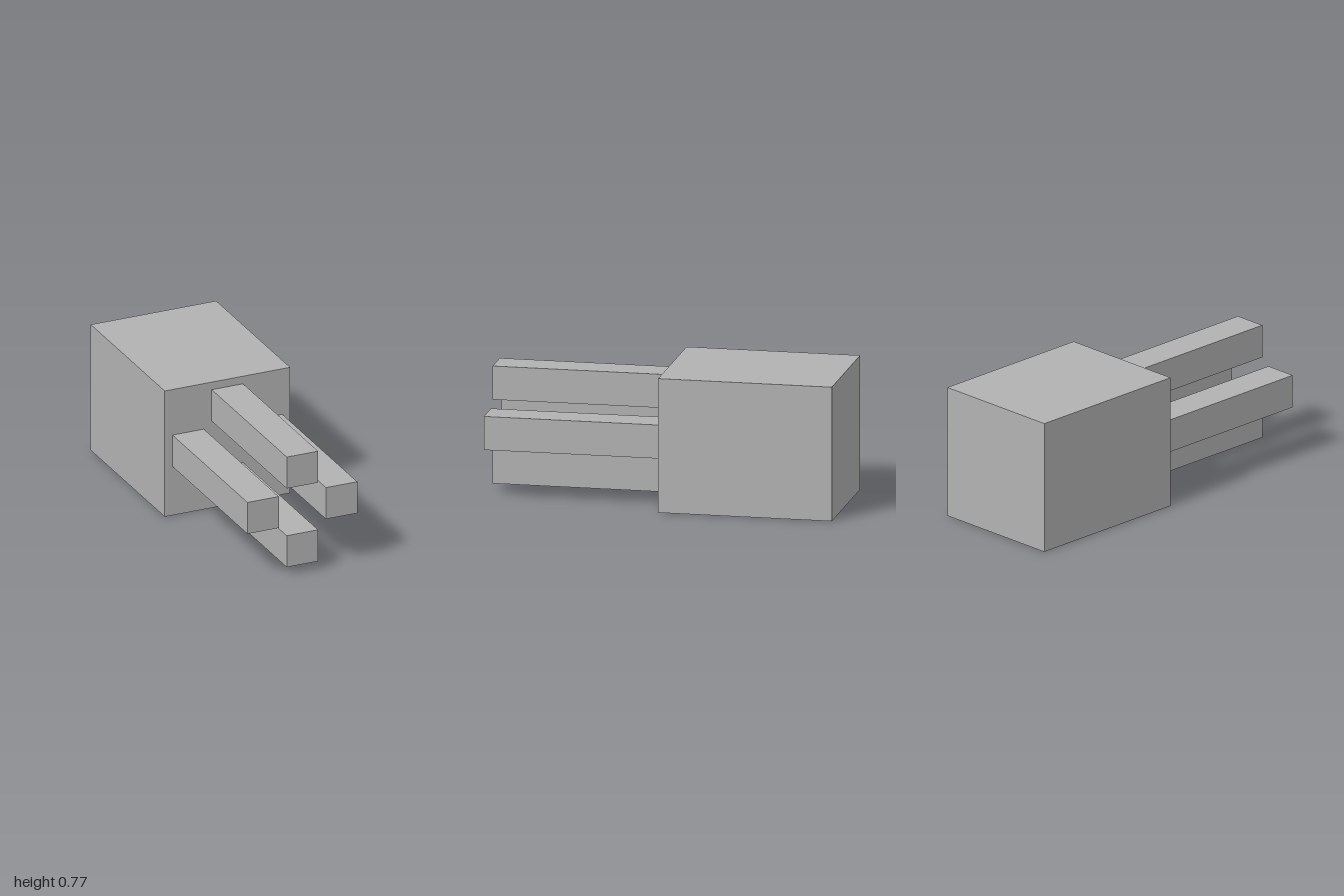
import * as THREE from 'three';

export function createModel() {
  const model = new THREE.Group();
  const grey = new THREE.MeshStandardMaterial({ color: 0xb2b2b2 });
  grey.name = 'grey';

  // Box spanning zBack to zFront with a square section centred on (x, y)
  const addBar = (name, size, x, y, zBack, zFront) => {
    const mesh = new THREE.Mesh(new THREE.BoxGeometry(size, size, zFront - zBack), grey);
    mesh.name = name;
    mesh.position.set(x, y, (zBack + zFront) / 2);
    model.add(mesh);
  };

  // Main block
  addBar('body', 0.772, 0, 0.386, -1, -0.007);

  // Four prongs in a cross on the front face
  const prongs = [
    ['topProng', 0, 0.629],
    ['bottomProng', 0, 0.146],
    ['leftProng', 0.241, 0.396],
    ['rightProng', -0.242, 0.396],
  ];
  for (const [name, x, y] of prongs) addBar(name, 0.193, x, y, -0.007, 1);

  return model;
}
